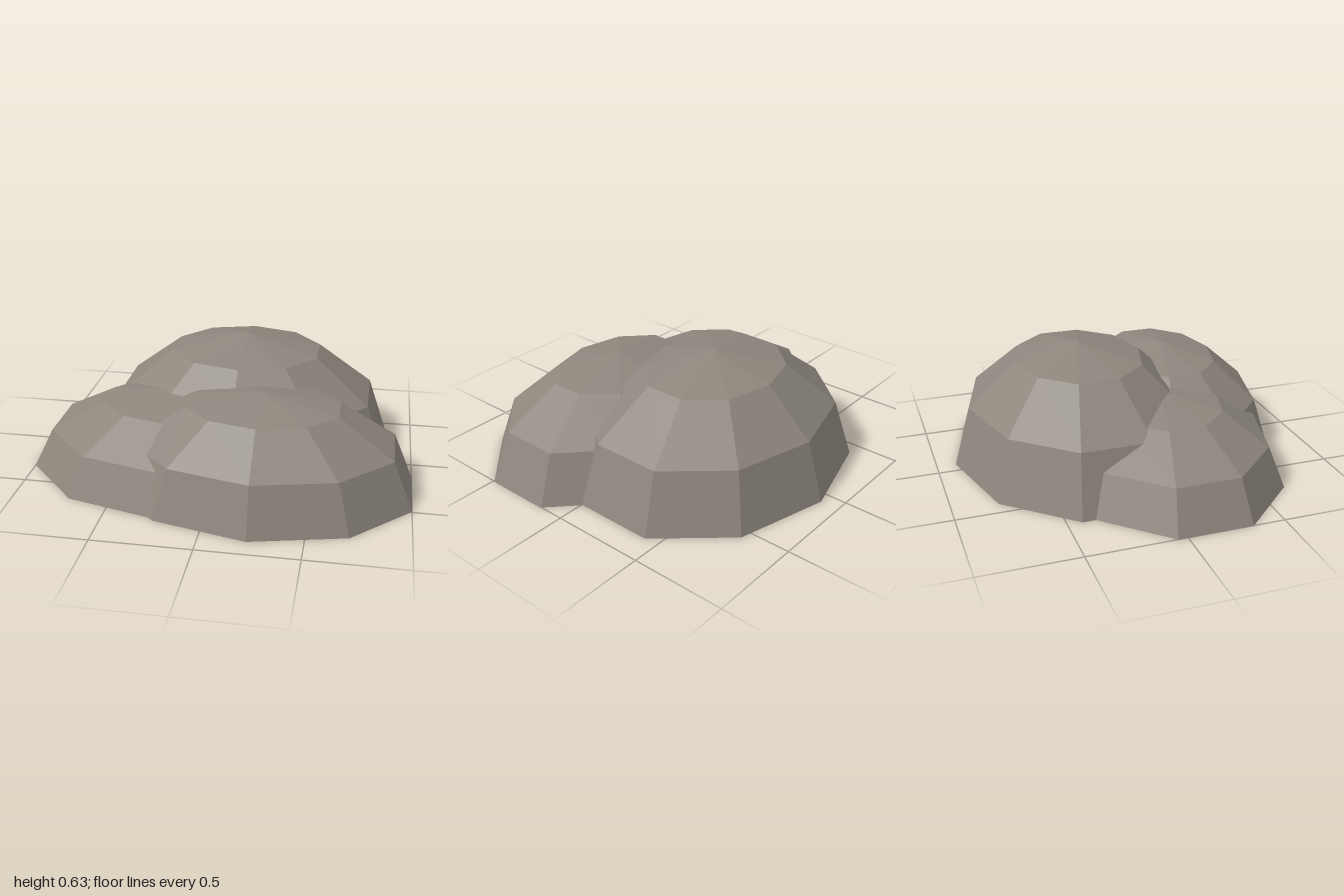
import * as THREE from 'three';

// Cluster of three overlapping low-poly boulders, hollow underneath.
export function createModel() {
  const group = new THREE.Group();
  group.name = 'rockCluster';

  const stone = new THREE.MeshStandardMaterial({ color: 0x8d867d, flatShading: true, side: THREE.DoubleSide });
  stone.name = 'warm grey stone';

  // Ten-sided half sphere with a corner pointing along z
  const dome = new THREE.SphereGeometry(1, 10, 3, Math.PI / 2, Math.PI * 2, 0, Math.PI / 2);

  // name, centre x, centre z, radius x, height, radius z
  const rocks = [
    ['backRock', 0.07, -0.213, 0.825, 0.627, 0.687],
    ['frontRock', 0.23, 0.315, 0.81, 0.512, 0.58],
    ['sideRock', -0.24, 0.143, 0.8, 0.418, 0.625],
  ];
  for (const [name, x, z, rx, height, rz] of rocks) {
    const rock = new THREE.Mesh(dome, stone);
    rock.name = name;
    rock.position.set(x, 0, z);
    rock.scale.set(rx, height, rz);
    group.add(rock);
  }
  return group;
}
